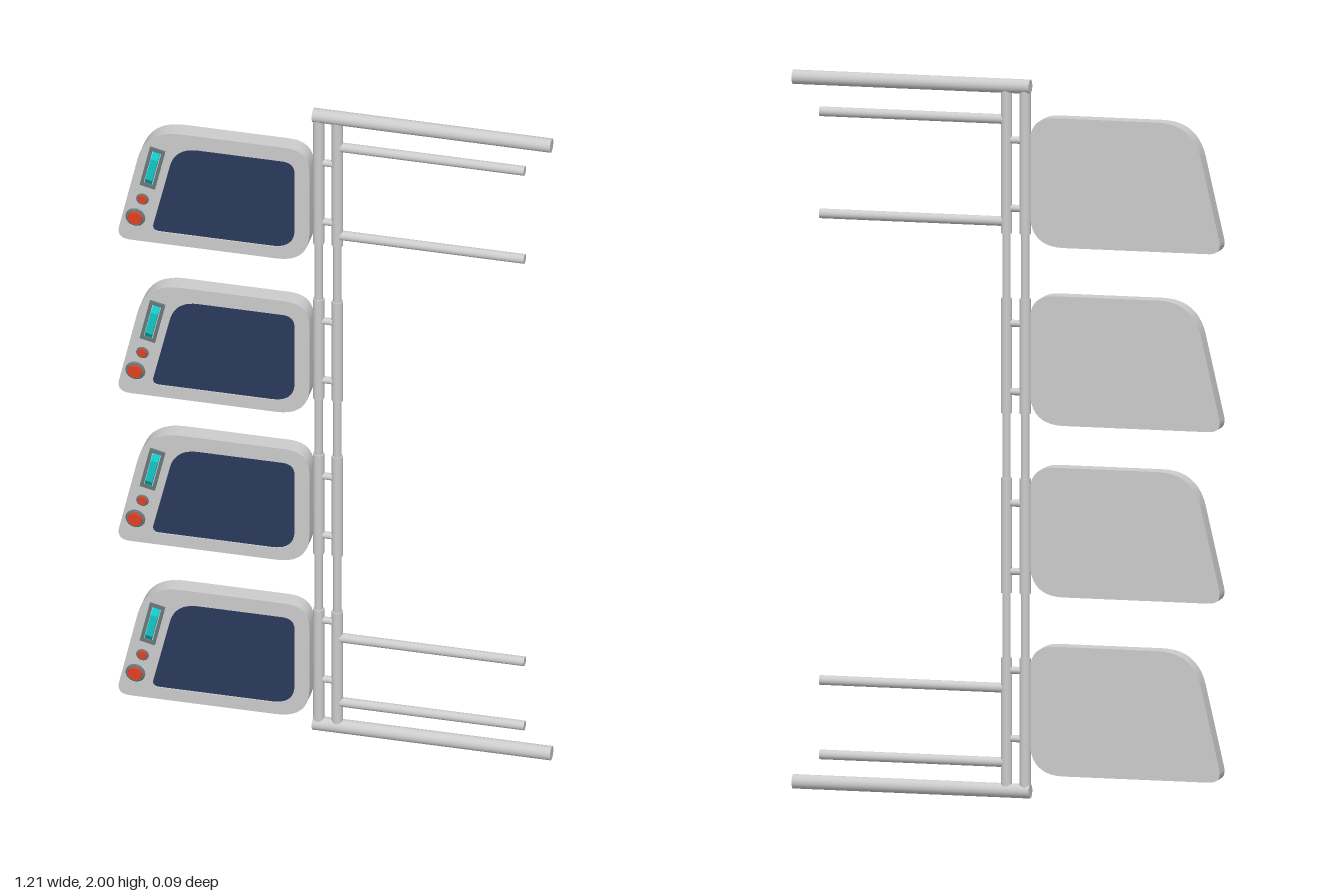
import * as THREE from 'three';
import { toCreasedNormals } from 'three/addons/utils/BufferGeometryUtils.js';

const grey = new THREE.MeshStandardMaterial({ color: 0xcccccc });
const navy = new THREE.MeshStandardMaterial({ color: 0x2a3a5c });
const cyan = new THREE.MeshStandardMaterial({ color: 0x10c8c8 });
const red = new THREE.MeshStandardMaterial({ color: 0xe04020 });
const dark = new THREE.MeshStandardMaterial({ color: 0x66787c });

const POLE_Z = -0.024, BACK = -0.023, FRONT = 0.029;

function add(parent, name, geometry, material, x = 0, y = 0, z = 0) {
  const mesh = new THREE.Mesh(geometry, material);
  mesh.name = name;
  mesh.position.set(x, y, z);
  parent.add(mesh);
  return mesh;
}

// Polygon with rounded corners; each corner is [x, y, rounding distance]
function roundedPolygon(corners, Type = THREE.Shape) {
  const shape = new Type();
  const n = corners.length;
  corners.forEach(([x, y, r], i) => {
    const p = new THREE.Vector2(x, y);
    const toward = ([qx, qy]) => new THREE.Vector2(qx, qy).sub(p).setLength(r).add(p);
    const a = toward(corners[(i + n - 1) % n]);
    const b = toward(corners[(i + 1) % n]);
    if (i === 0) shape.moveTo(a.x, a.y); else shape.lineTo(a.x, a.y);
    shape.quadraticCurveTo(x, y, b.x, b.y);
  });
  shape.closePath();
  return shape;
}

function extrude(shape, depth) {
  const g = new THREE.ExtrudeGeometry(shape, { depth, bevelEnabled: false, curveSegments: 10 });
  return toCreasedNormals(g, 0.6);
}

function verticalTube(parent, name, x, y0, y1, r) {
  add(parent, name, new THREE.CylinderGeometry(r, r, y1 - y0, 20), grey, x, (y0 + y1) / 2, POLE_Z);
}

function horizontalTube(parent, name, x0, x1, y, r) {
  const g = new THREE.CylinderGeometry(r, r, x1 - x0, 20).rotateZ(Math.PI / 2);
  add(parent, name, g, grey, (x0 + x1) / 2, y, POLE_Z);
}

// Short round button facing +z with a slightly tapered cap
function button(parent, name, x, y, r, height, material) {
  const g = new THREE.CylinderGeometry(r * 0.85, r, height, 24).rotateX(Math.PI / 2);
  add(parent, name, g, material, x, y, FRONT + height / 2);
}

// Slanted console panel; y = 0 is its bottom edge
function createPanel() {
  const panel = new THREE.Group();
  panel.name = 'panel';
  const outline = () => roundedPolygon([
    [-0.613, 0, 0.04], [-0.066, 0, 0.095], [-0.066, 0.36, 0.07], [-0.53, 0.36, 0.1],
  ]);
  const opening = [
    [-0.513, 0.037, 0.022], [-0.108, 0.037, 0.065], [-0.108, 0.315, 0.035], [-0.446, 0.315, 0.065],
  ];
  const rim = outline();
  rim.holes.push(roundedPolygon(opening, THREE.Path));
  const rimDepth = 0.008;
  add(panel, 'panelBody', extrude(outline(), FRONT - BACK - rimDepth), grey, 0, 0, BACK);
  add(panel, 'panelRim', extrude(rim, rimDepth), grey, 0, 0, FRONT - rimDepth);
  add(panel, 'screen', extrude(roundedPolygon(opening), 0.004), navy, 0, 0, FRONT - rimDepth);

  // Round buttons in the lower left corner
  button(panel, 'largeButtonRing', -0.558, 0.075, 0.028, 0.004, dark);
  button(panel, 'largeButton', -0.558, 0.075, 0.022, 0.009, red);
  button(panel, 'smallButtonRing', -0.538, 0.136, 0.018, 0.002, dark);
  button(panel, 'smallButton', -0.538, 0.136, 0.014, 0.005, red);

  // Tilted indicator: a raised frame with a wedge-ended glowing bar
  const indicator = new THREE.Group();
  indicator.name = 'indicator';
  indicator.position.set(-0.509, 0.242, FRONT);
  indicator.rotation.z = -0.23;
  panel.add(indicator);
  const box = (x0, x1, y0, y1, Type) => roundedPolygon(
    [[x0, y0, 0.001], [x1, y0, 0.001], [x1, y1, 0.001], [x0, y1, 0.001]], Type);
  const frame = box(-0.022, 0.022, -0.064, 0.064);
  frame.holes.push(box(-0.013, 0.013, -0.054, 0.054, THREE.Path));
  add(indicator, 'indicatorFrame', extrude(frame, 0.006), dark);
  const profile = new THREE.Shape([[-0.054, 0], [0.054, 0], [0.034, 0.015], [-0.034, 0.015]]
    .map(([a, b]) => new THREE.Vector2(a, b)));
  const bar = new THREE.ExtrudeGeometry(profile, { depth: 0.02, bevelEnabled: false })
    .translate(0, 0, -0.01).rotateX(Math.PI / 2).rotateZ(Math.PI / 2);
  add(indicator, 'indicatorBar', bar, cyan);
  return panel;
}

export function createModel() {
  const model = new THREE.Group();
  model.name = 'panelRack';

  // Twin poles: slim cores with thicker sleeves behind each panel
  const sleeves = [[0.03, 0.39], [0.57, 0.89], [1.07, 1.39], [1.57, 1.97]];
  for (const x of [-0.053, 0]) {
    verticalTube(model, 'poleCore', x, 0.03, 1.97, 0.0115);
    for (const [y0, y1] of sleeves) verticalTube(model, 'poleSleeve', x, y0, y1, 0.0155);
  }

  // Rungs joining the poles
  for (const y of [0.165, 0.355, 0.63, 0.82, 1.13, 1.32, 1.64, 1.83])
    horizontalTube(model, 'rung', -0.053, 0, y, 0.01);

  // Heavy end bars and thinner side bars
  for (const y of [0.02, 1.98]) horizontalTube(model, 'endBar', -0.068, 0.606, y, 0.02);
  for (const y of [0.098, 0.305, 1.603, 1.887]) horizontalTube(model, 'sideBar', 0, 0.53, y, 0.0135);

  // Four panels
  for (const y of [0.065, 0.563, 1.04, 1.535]) {
    const panel = createPanel();
    panel.position.y = y;
    model.add(panel);
  }
  return model;
}
